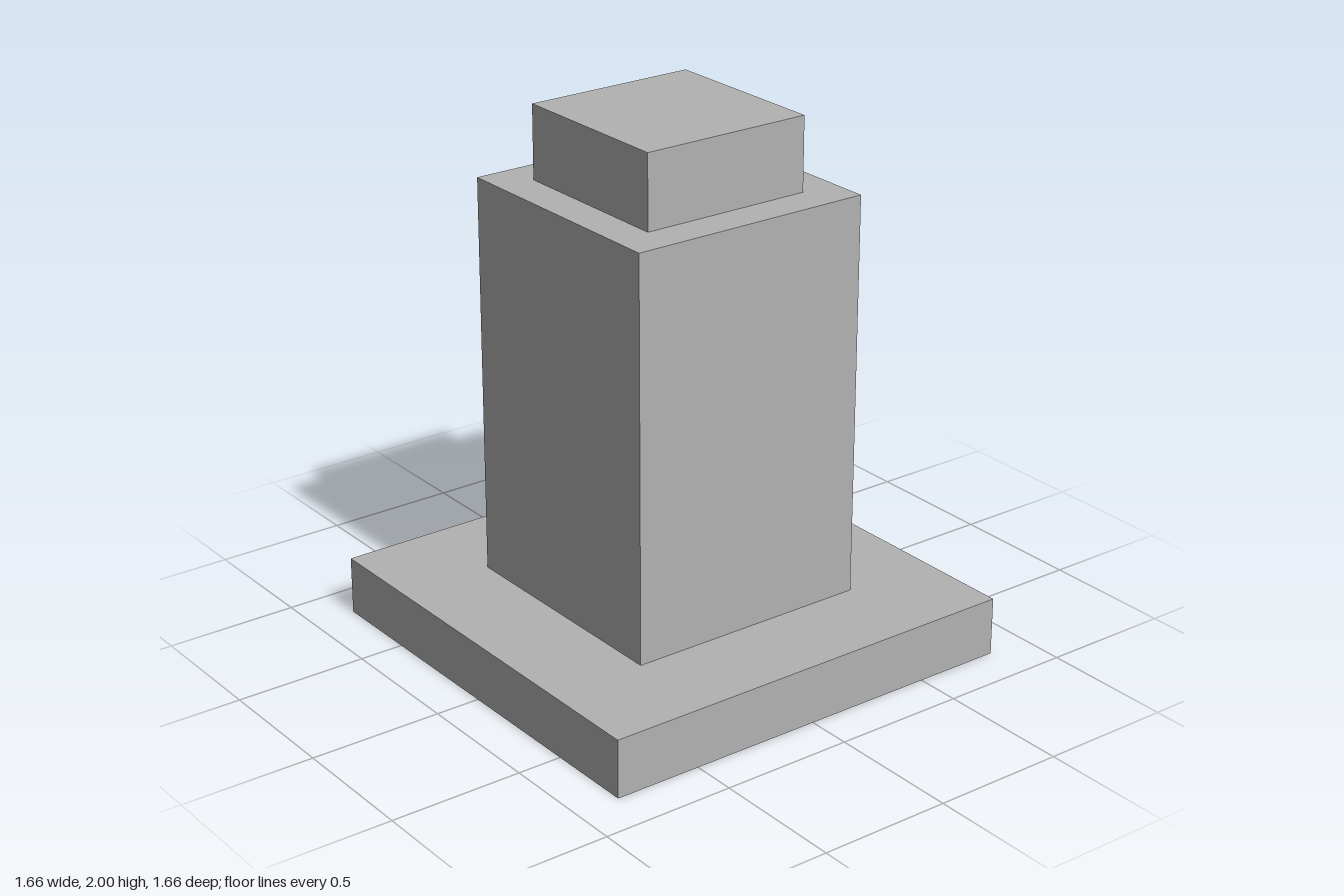
import * as THREE from 'three';

export function createModel() {
  const model = new THREE.Group();
  const stone = new THREE.MeshStandardMaterial({ color: 0xb2b2b2 });
  stone.name = 'grey stone';

  // Stacked square blocks: name, width, bottom, top
  const blocks = [
    ['base', 1.665, 0, 0.22],
    ['column', 0.94, 0.22, 1.725],
    ['cap', 0.66, 1.725, 2],
  ];

  for (const [name, width, bottom, top] of blocks) {
    const block = new THREE.Mesh(new THREE.BoxGeometry(width, top - bottom, width), stone);
    block.name = name;
    block.position.y = (bottom + top) / 2;
    model.add(block);
  }
  return model;
}
